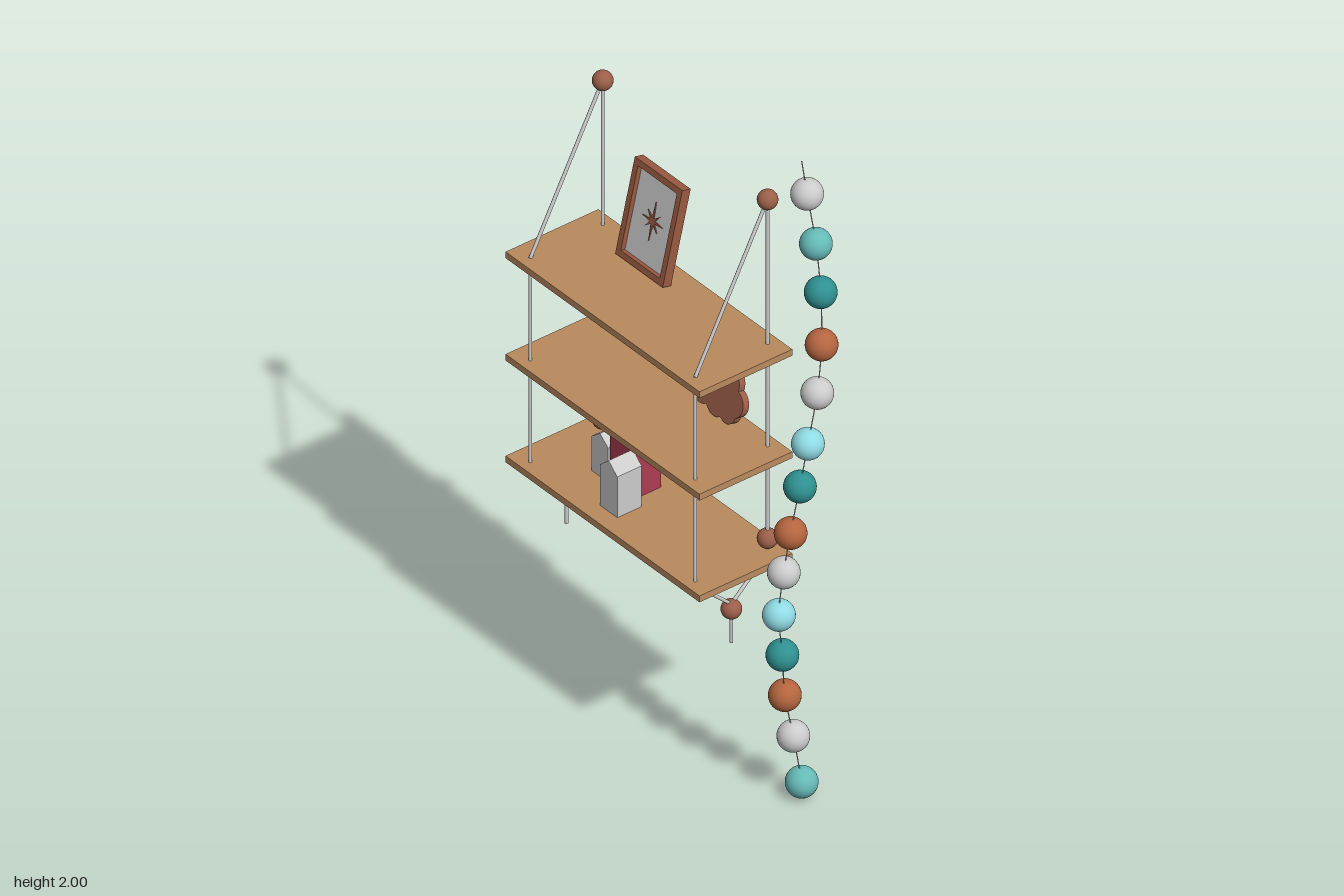
import * as THREE from 'three';

const mat = (color, flatShading = false) => new THREE.MeshStandardMaterial({ color, flatShading });
const grey = mat(0xcccccc), greyFlat = mat(0xcccccc, true), wood = mat(0xba8a5e), knobWood = mat(0x9c5f4a);
const frameWood = mat(0x9a5a41), red = mat(0xad3c52, true);

function add(parent, name, geometry, material, x = 0, y = 0, z = 0) {
  const m = new THREE.Mesh(geometry, material);
  m.name = name;
  m.position.set(x, y, z);
  parent.add(m);
  return m;
}

// Straight round cord between two points
function cord(parent, name, a, b, r = 0.005) {
  const p = new THREE.Vector3(...a), q = new THREE.Vector3(...b);
  const d = q.clone().sub(p);
  const m = add(parent, name, new THREE.CylinderGeometry(r, r, d.length(), 10), grey);
  m.position.copy(p).add(q).multiplyScalar(0.5);
  m.quaternion.setFromUnitVectors(new THREE.Vector3(0, 1, 0), d.normalize());
}

const knob = (parent, name, x, y, z) => add(parent, name, new THREE.SphereGeometry(0.028, 24, 16), knobWood, x, y, z);

// Group that faces -x and leans back towards +x
function leaning(parent, name, x, y, z) {
  const g = new THREE.Group();
  g.name = name;
  g.position.set(x, y, z);
  g.rotation.set(-0.23, -Math.PI / 2, 0, 'YXZ');
  parent.add(g);
  return g;
}

const extrude = (shape, depth) => new THREE.ExtrudeGeometry(shape, { depth, bevelEnabled: false, curveSegments: 16 });

function rectPath(Type, x0, y0, x1, y1) {
  const p = new Type();
  p.moveTo(x0, y0); p.lineTo(x1, y0); p.lineTo(x1, y1); p.lineTo(x0, y1); p.closePath();
  return p;
}

// Block house with its gables facing +x and -x
function house(parent, name, material, x0, x1, z0, z1, wall, peak) {
  const base = 0.655, w = (z1 - z0) / 2;
  const s = new THREE.Shape();
  s.moveTo(-w, 0); s.lineTo(w, 0); s.lineTo(w, wall - base); s.lineTo(0, peak - base); s.lineTo(-w, wall - base);
  s.closePath();
  const m = add(parent, name, extrude(s, x1 - x0), material, x1, base, (z0 + z1) / 2);
  m.rotation.y = -Math.PI / 2;
}

// Scalloped cloud outline: outermost hit of each ray on a cluster of circles
function cloudShape() {
  const circles = [[0.08, 0.068, 0.04], [0.05, 0.115, 0.041], [-0.01, 0.132, 0.052], [-0.062, 0.122, 0.034],
    [-0.082, 0.078, 0.042], [-0.042, 0.048, 0.04], [0.018, 0.042, 0.042], [0.065, 0.036, 0.034], [0, 0.085, 0.05]];
  const cy = 0.085, pts = [];
  for (let i = 0; i < 160; i++) {
    const t = i / 160 * Math.PI * 2, c = Math.cos(t), s = Math.sin(t);
    let far = 0;
    for (const [x, y, r] of circles) {
      const along = x * c + (y - cy) * s, off = x * s - (y - cy) * c;
      if (Math.abs(off) < r) far = Math.max(far, along + Math.sqrt(r * r - off * off));
    }
    pts.push(new THREE.Vector2(far * c, cy + far * s));
  }
  return new THREE.Shape(pts);
}

export function createModel() {
  const model = new THREE.Group();

  // Three shelves
  for (const y of [0.645, 0.965, 1.287])
    add(model, 'shelf', new THREE.BoxGeometry(0.305, 0.02, 0.8), wood, 0, y, -0.135);

  // Hanging cords and knobs at both ends
  for (const z of [0.205, -0.475]) {
    const g = new THREE.Group();
    g.name = 'hanger';
    model.add(g);
    cord(g, 'backCord', [0.119, 0.64, z], [0.119, 1.75, z]);
    cord(g, 'frontCord', [-0.119, 0.64, z], [-0.119, 1.3, z]);
    cord(g, 'slantedCord', [-0.119, 1.295, z], [0.119, 1.75, z]);
    for (const s of [-1, 1]) cord(g, 'lowerCord', [s * 0.119, 0.64, z], [0, 0.53, z]);
    cord(g, 'cordTail', [0, 0.53, z], [0, 0.41, z]);
    knob(g, 'topKnob', 0.119, 1.75, z);
    knob(g, 'shelfKnob', 0.119, 0.685, z);
    knob(g, 'lowerKnob', 0, 0.515, z);
  }
  knob(model, 'extraKnob', 0.119, 0.745, -0.475);

  // Leaning picture frame with a star picture
  const frame = leaning(model, 'pictureFrame', 0.084, 1.298, -0.2475);
  const rim = rectPath(THREE.Shape, -0.098, 0, 0.098, 0.284);
  rim.holes.push(rectPath(THREE.Path, -0.08, 0.018, 0.08, 0.266));
  add(frame, 'frameRim', extrude(rim, 0.028), frameWood);
  add(frame, 'frameBack', new THREE.BoxGeometry(0.194, 0.282, 0.008), frameWood, 0, 0.142, 0.0045);
  add(frame, 'picture', new THREE.BoxGeometry(0.16, 0.248, 0.006), grey, 0, 0.142, 0.011);
  const star = [];
  for (let i = 0; i < 16; i++) {
    const t = i * Math.PI / 8, r = i % 2 ? 0.01 : i % 4 ? 0.034 : i % 8 === 4 || i === 12 ? 0.056 : 0.042;
    star.push(new THREE.Vector2(r * Math.cos(t), r * Math.sin(t)));
  }
  add(frame, 'pictureStar', extrude(new THREE.Shape(star), 0.004), frameWood, 0, 0.142, 0.013);

  // Leaning cloud
  const cloud = leaning(model, 'cloud', 0.11, 0.975, -0.001);
  add(cloud, 'cloudPanel', extrude(cloudShape(), 0.02), knobWood);

  // Little houses
  house(model, 'redHouse', red, -0.018, 0.074, -0.272, -0.177, 0.81, 0.845);
  house(model, 'tallGreyHouse', greyFlat, -0.1, -0.02, -0.212, -0.14, 0.783, 0.815);
  house(model, 'smallGreyHouse', greyFlat, -0.02, 0.038, -0.347, -0.278, 0.763, 0.79);

  // Spiral bead garland: x, y, z from top to bottom
  const beads = [[0.084, 1.897, 0.412], [0.093, 1.75, 0.437], [0.088, 1.614, 0.463], [0.075, 1.466, 0.483],
    [0.052, 1.33, 0.494], [0.023, 1.182, 0.492], [0.007, 1.047, 0.479], [-0.011, 0.9, 0.463],
    [-0.015, 0.765, 0.44], [-0.011, 0.616, 0.415], [0.006, 0.479, 0.408], [0.03, 0.331, 0.388],
    [0.053, 0.196, 0.394], [0.074, 0.047, 0.402]];
  const teal = mat(0x66bab8), darkTeal = mat(0x2f9090), rust = mat(0xb5653f), sky = mat(0x90dbe4);
  const pattern = [grey, teal, darkTeal, rust, grey, sky, darkTeal, rust, grey, sky, darkTeal, rust, grey, teal];
  const garland = new THREE.Group();
  garland.name = 'garland';
  model.add(garland);
  const bead = new THREE.SphereGeometry(0.0435, 32, 20);
  beads.forEach((p, i) => add(garland, 'bead', bead, pattern[i], ...p));
  const line = [[0.074, 2, 0.402], ...beads, [0.078, 0, 0.405]].map(p => new THREE.Vector3(...p));
  add(garland, 'string', new THREE.TubeGeometry(new THREE.CatmullRomCurve3(line), 120, 0.0015, 6), grey);

  return model;
}
